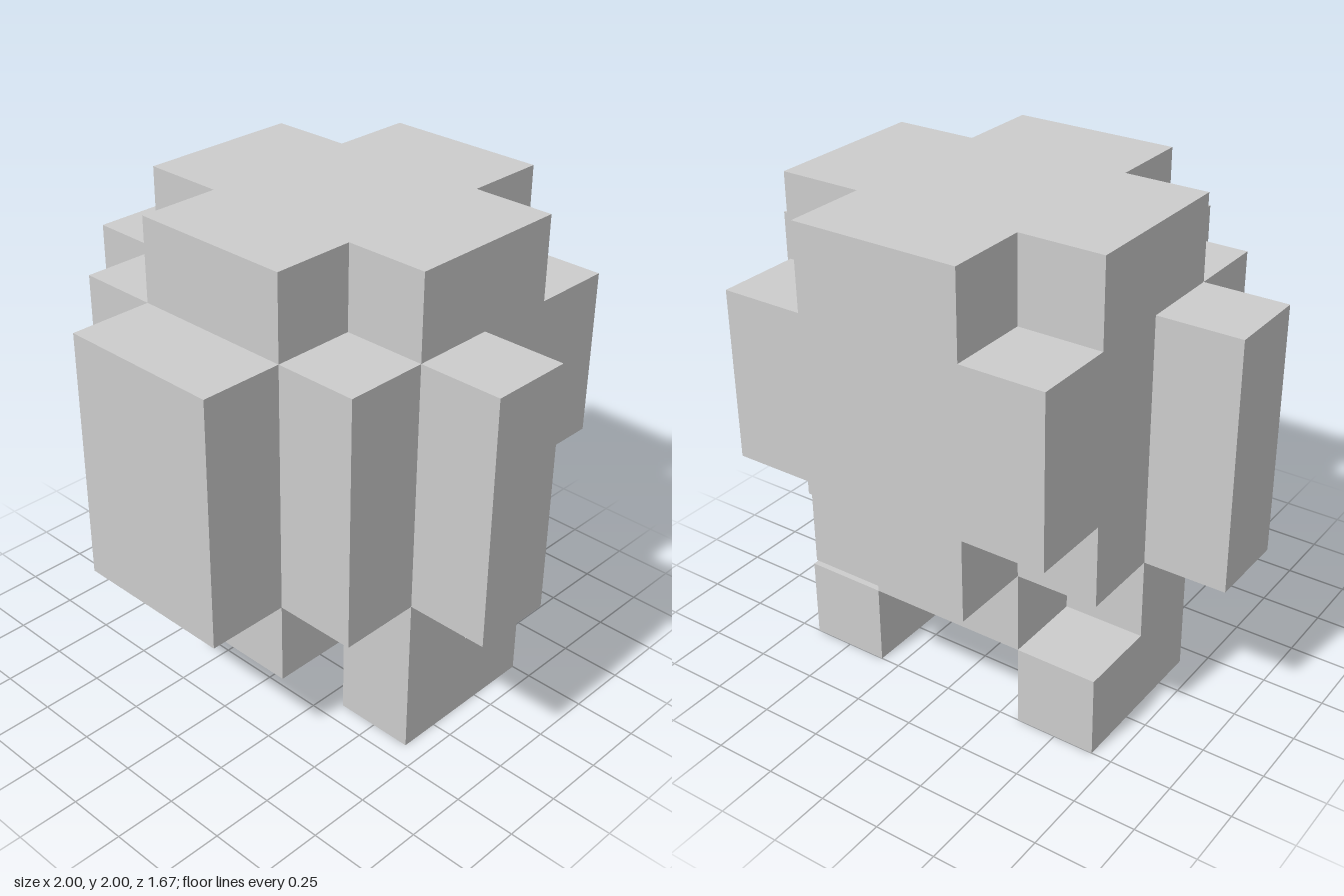
import * as THREE from 'three';

const U = 1 / 3; // one block

export function createModel() {
  const group = new THREE.Group();
  const grey = new THREE.MeshStandardMaterial({ color: 0xcccccc });
  grey.name = 'light grey';

  const add = (name, geometry) => {
    const mesh = new THREE.Mesh(geometry, grey);
    mesh.name = name;
    group.add(mesh);
  };
  const extrude = (points, depth) => new THREE.ExtrudeGeometry(
    new THREE.Shape(points.map(([a, b]) => new THREE.Vector2(a * U, b * U))),
    { depth: depth * U, bevelEnabled: false });

  // Slab from half a plan outline in blocks (x, z), mirrored in x
  const slab = (name, half, y0, y1) => {
    const mirrored = half.map(([x, z]) => [-x, z]).reverse();
    const geometry = extrude([...half, ...mirrored].map(([x, z]) => [x, -z]), y1 - y0);
    add(name, geometry.rotateX(-Math.PI / 2).translate(0, y0 * U, 0));
  };
  // Block from its limits, in block units
  const block = (name, x0, x1, y0, y1, z0, z1) => add(name,
    new THREE.BoxGeometry((x1 - x0) * U, (y1 - y0) * U, (z1 - z0) * U)
      .translate((x0 + x1) / 2 * U, (y0 + y1) / 2 * U, (z0 + z1) / 2 * U));

  // Crown and trunk, from top to bottom
  slab('crown', [[1, 1.5], [1, 0.5], [2, 0.5], [2, -1.5], [1, -1.5], [1, -2.5]], 5, 6);
  slab('upperTrunk', [[2, 1.5], [2, -2.5]], 3, 5);
  slab('lowerTrunk', [[2, 1.5], [2, -1.5], [1, -1.5], [1, -2.5]], 2, 3);
  block('hips', -1, 1, 1, 2, -1.5, 1.5);
  block('frontPanel', -1, 1, 2, 5, 1.5, 2.5);

  for (const [side, s] of [['left', 1], ['right', -1]]) {
    // Arm
    block(side + 'Arm', s > 0 ? 2 : -3, s > 0 ? 3 : -2, 2, 5, -0.5, 0.5);
    // Leg with a foot reaching back, drawn as a side profile (z, y)
    const leg = extrude([[-1.5, 0], [0.5, 0], [0.5, 2], [-0.5, 2], [-0.5, 1], [-1.5, 1]], 1);
    leg.rotateY(-Math.PI / 2).translate((s > 0 ? 2 : -1) * U, 0, 0);
    add(side + 'Leg', leg);
  }
  return group;
}
